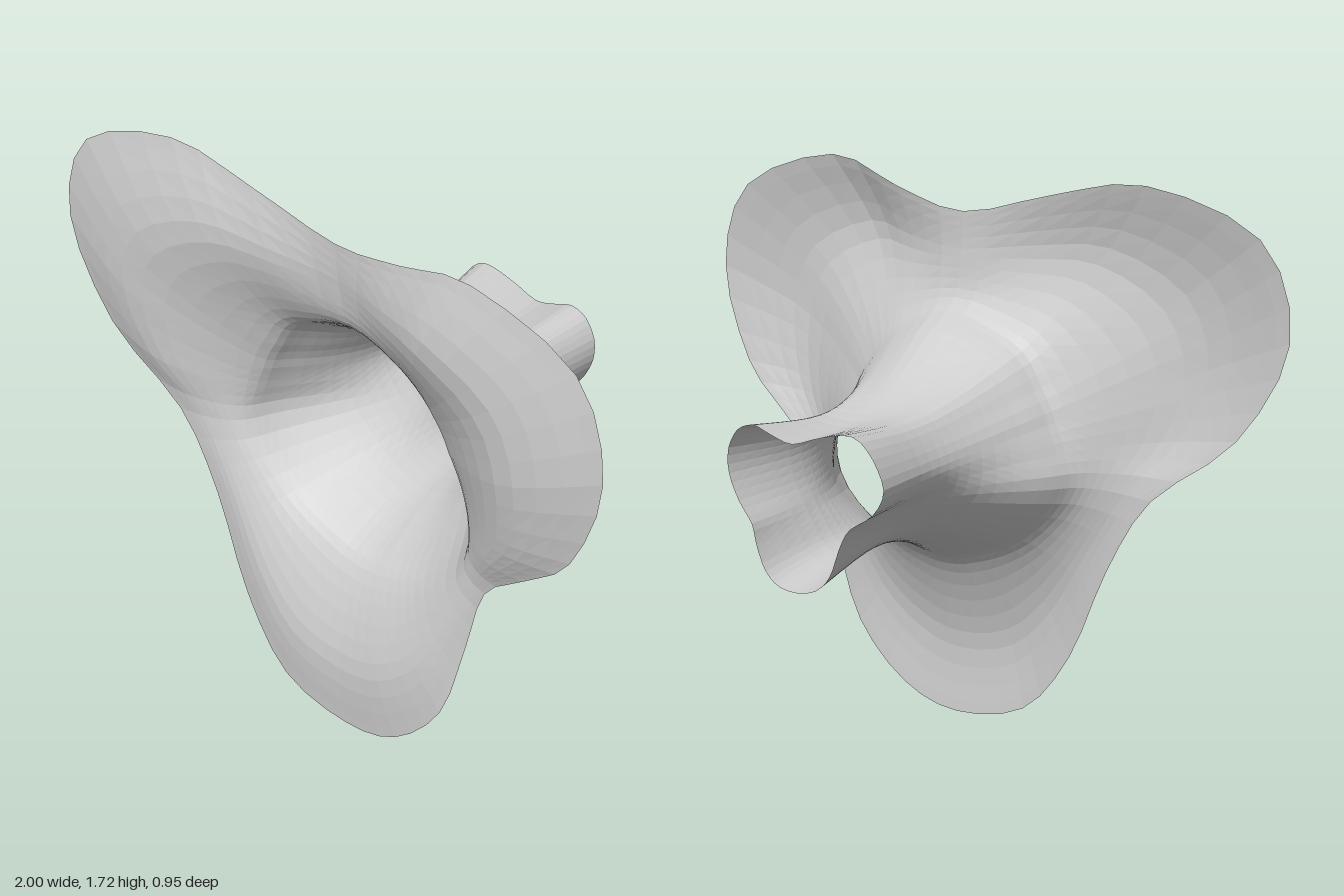
import * as THREE from 'three';

// Stations around the funnel, counter-clockwise from the top:
// [throat x, throat y, rim x, rim y, rim z, valley (0 = lobe, 1 = dip between lobes)]
const STATIONS = [
  [0.06, 1.07, 0.04, 1.6, 0.345, 1],
  [0.13, 1.07, 0.3, 1.65, 0.38, 0.6],
  [0.175, 1.075, 0.57, 1.72, 0.425, 0.2],
  [0.215, 1.055, 0.9, 1.6, 0.42, 0],
  [0.24, 1.01, 1, 1.33, 0.425, 0],
  [0.25, 0.95, 0.9, 1.03, 0.41, 0.3],
  [0.235, 0.88, 0.73, 0.87, 0.385, 0.7],
  [0.205, 0.82, 0.57, 0.72, 0.345, 1],
  [0.175, 0.77, 0.51, 0.5, 0.35, 0.6],
  [0.14, 0.72, 0.44, 0.24, 0.375, 0.2],
  [0.1, 0.695, 0.28, 0.06, 0.39, 0],
  [0.05, 0.69, 0.08, 0, 0.39, 0],
  [0, 0.705, -0.16, 0.06, 0.395, 0],
  [-0.04, 0.74, -0.33, 0.27, 0.38, 0.2],
  [-0.08, 0.8, -0.46, 0.57, 0.36, 0.7],
  [-0.13, 0.86, -0.6, 0.81, 0.36, 1],
  [-0.18, 0.91, -0.85, 1.02, 0.385, 0.4],
  [-0.2, 0.97, -1, 1.32, 0.385, 0],
  [-0.17, 1.04, -0.9, 1.6, 0.38, 0],
  [-0.12, 1.09, -0.55, 1.72, 0.37, 0.2],
  [-0.03, 1.085, -0.25, 1.67, 0.36, 0.6],
];
const AROUND = 63;
const ALONG = 28;

const loop = (pick) =>
  new THREE.CatmullRomCurve3(STATIONS.map((s) => new THREE.Vector3(...pick(s))), true, 'catmullrom', 0.5);

// Profile from the tube's open end to the rim: x = distance outward from the throat, y = depth z
function profile(reach, rimZ, rimY, v) {
  const bulge = (1 - v) * (0.02 + 0.025 * rimY);
  const shoulder = 0.19 + 0.08 * v;
  return new THREE.SplineCurve([
    new THREE.Vector2(0.045 * (1 - v), -0.48),
    new THREE.Vector2(0, -0.2),
    new THREE.Vector2(0.02 + 0.05 * v, 0),
    new THREE.Vector2(0.1 + 0.1 * v, 0.2),
    new THREE.Vector2(shoulder, 0.31),
    new THREE.Vector2((shoulder + reach) / 2, THREE.MathUtils.lerp(0.31, rimZ, 0.85) + bulge),
    new THREE.Vector2(reach, rimZ),
  ]);
}

function funnelGeometry() {
  const throat = loop((s) => [s[0], s[1], s[5]]); // z carries the valley weight
  const rim = loop((s) => [s[2], s[3], s[4]]);
  const positions = [];
  const indices = [];
  for (let i = 0; i < AROUND; i++) {
    const a = throat.getPoint(i / AROUND);
    const b = rim.getPoint(i / AROUND);
    const v = THREE.MathUtils.clamp(a.z, 0, 1);
    const out = new THREE.Vector2(b.x - a.x, b.y - a.y);
    const curve = profile(out.length(), b.z, b.y, v);
    out.normalize();
    for (let j = 0; j <= ALONG; j++) {
      const p = curve.getPoint(j / ALONG);
      positions.push(a.x + out.x * p.x, a.y + out.y * p.x, p.y);
    }
  }
  const row = ALONG + 1;
  for (let i = 0; i < AROUND; i++) {
    const n = (i + 1) % AROUND;
    for (let j = 0; j < ALONG; j++) {
      const p = i * row + j;
      const q = n * row + j;
      indices.push(p, q, p + 1, q, q + 1, p + 1);
    }
  }
  const geometry = new THREE.BufferGeometry();
  geometry.setAttribute('position', new THREE.Float32BufferAttribute(positions, 3));
  geometry.setIndex(indices);
  geometry.computeVertexNormals();
  return geometry;
}

export function createModel() {
  const group = new THREE.Group();
  group.name = 'threeLobedFunnel';
  // Thin open sheet: round tube at the back flaring into three petals
  const material = new THREE.MeshStandardMaterial({ color: 0xcccccc, flatShading: true, side: THREE.DoubleSide });
  const funnel = new THREE.Mesh(funnelGeometry(), material);
  funnel.name = 'flaredFunnel';
  group.add(funnel);
  return group;
}
